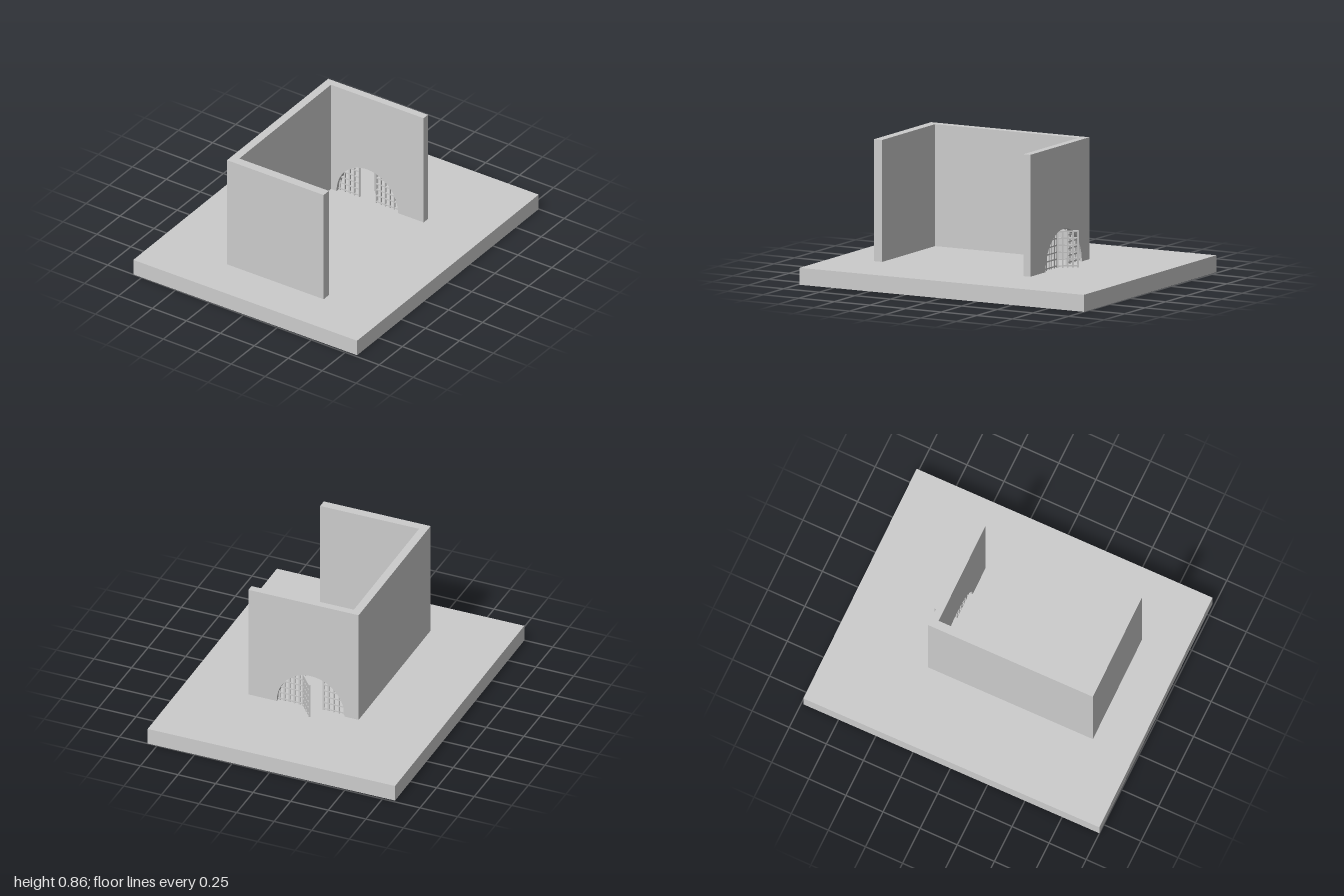
import * as THREE from 'three';

const mat = new THREE.MeshStandardMaterial({ color: 0xcccccc, flatShading: true });
const FLOOR = 0.105, TOP = 0.858;   // top of slab, top of walls
const ARCH_W = 0.225, ARCH_H = 0.235; // half width and height of the arch
const BAR = 0.009;

// Box given by its limits on each axis
function box(name, x0, x1, y0, y1, z0, z1, parent) {
  const mesh = new THREE.Mesh(new THREE.BoxGeometry(x1 - x0, y1 - y0, z1 - z0), mat);
  mesh.position.set((x0 + x1) / 2, (y0 + y1) / 2, (z0 + z1) / 2);
  mesh.name = name;
  parent.add(mesh);
  return mesh;
}

// Lattice of bars between x0 and x1, cut off at the height given by heightAt(x)
function lattice(name, x0, x1, nBars, heightAt, widthAt) {
  const g = new THREE.Group();
  g.name = name;
  const h = BAR / 2;
  for (let i = 0; i < nBars; i++) {
    const x = x0 + ((x1 - x0) * i) / (nBars - 1);
    const top = heightAt(x);
    if (top > 0.01) box('uprightBar', x - h, x + h, 0, top, -h, h, g);
  }
  for (let y = 0.012; y < ARCH_H; y += 0.0425) {
    const [a, b] = widthAt(y);
    if (b - a > 0.01) box('crossBar', a, b, y - h, y + h, -h, h, g);
  }
  return g;
}

export function createModel() {
  const group = new THREE.Group();
  const model = new THREE.Group();
  model.name = 'gatehouse';
  model.rotation.y = 0.008; // whole piece sits very slightly turned
  group.add(model);

  // Ground slab
  box('groundSlab', -0.82, 0.82, 0, FLOOR, -0.993, 0.993, model);

  // Side wall and front wall
  box('sideWall', -0.318, -0.266, FLOOR, TOP, -0.342, 0.66, model);
  box('frontWall', -0.318, 0.39, FLOOR, TOP, 0.66, 0.717, model);

  // Back wall with an arched opening
  const s = new THREE.Shape();
  s.moveTo(-0.318, FLOOR);
  s.lineTo(-ARCH_W, FLOOR);
  s.absellipse(0, FLOOR, ARCH_W, ARCH_H, Math.PI, 0, true);
  s.lineTo(0.413, FLOOR);
  s.lineTo(0.413, TOP);
  s.lineTo(-0.318, TOP);
  const back = new THREE.Mesh(
    new THREE.ExtrudeGeometry(s, { depth: 0.047, bevelEnabled: false, curveSegments: 24 }), mat);
  back.position.z = -0.389;
  back.name = 'archedBackWall';
  model.add(back);

  // Fixed grilles on both sides of the doorway, following the arch
  const archTop = x => ARCH_H * Math.sqrt(Math.max(0, 1 - (x / ARCH_W) ** 2));
  const archSide = y => ARCH_W * Math.sqrt(Math.max(0, 1 - (y / ARCH_H) ** 2));
  const leftGrille = lattice('leftGrille', 0.05, 0.215, 6, archTop, y => [0.05, archSide(y)]);
  const rightGrille = lattice('rightGrille', -0.215, -0.075, 5, archTop, y => [-archSide(y), -0.075]);
  for (const g of [leftGrille, rightGrille]) {
    g.position.set(0, FLOOR, -0.367);
    model.add(g);
  }

  // Door leaf standing open to the back
  const door = lattice('openDoor', -0.125, 0, 5, () => 0.228, () => [-0.129, 0.004]);
  door.position.set(0.052, FLOOR, -0.377);
  door.rotation.y = -0.88;
  model.add(door);

  return group;
}
